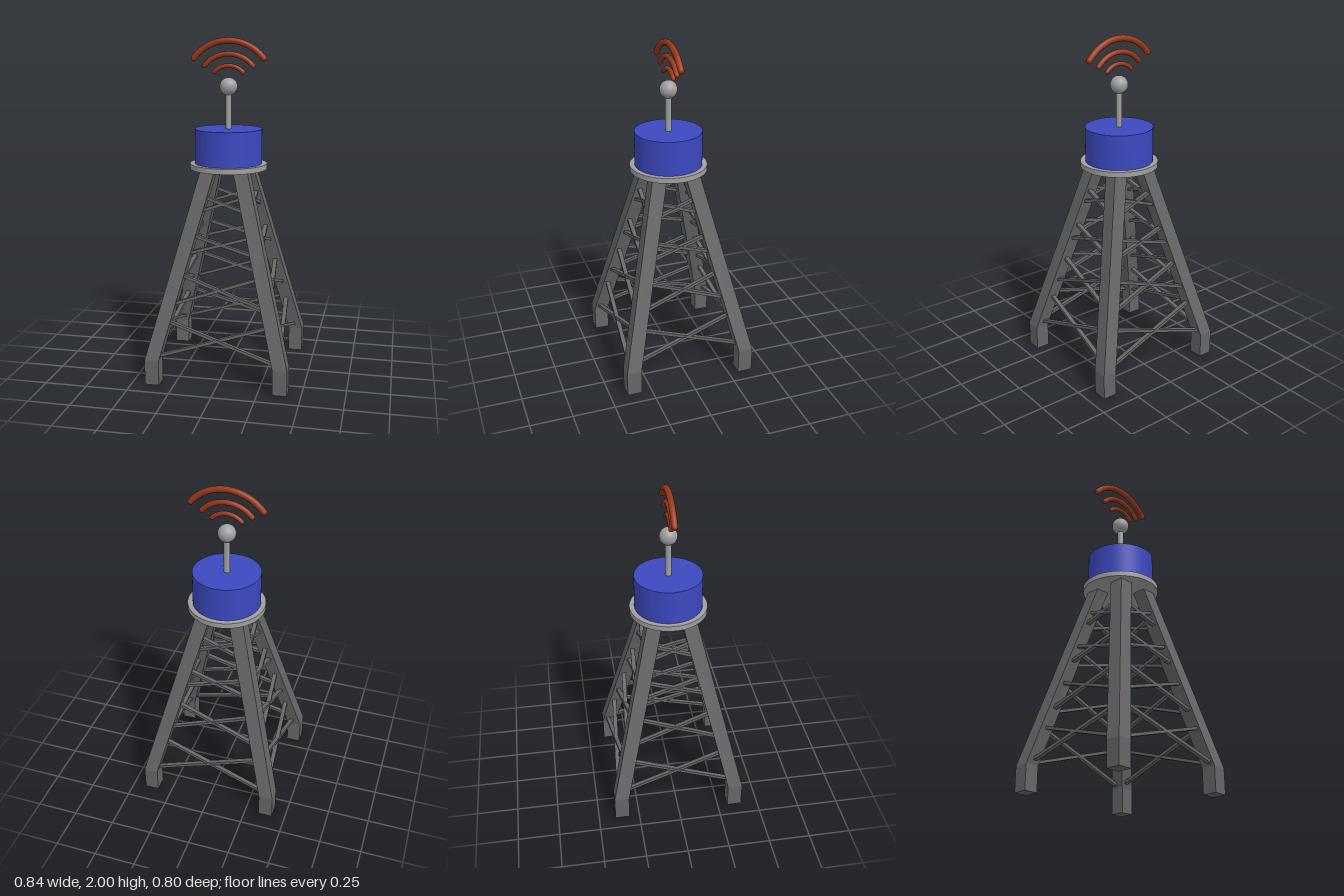
import * as THREE from 'three';

const material = (color, flatShading = false) => new THREE.MeshStandardMaterial({ color, flatShading });
const steel = material(0x666666, true);
const metal = material(0xa0a0a0);
const blue = material(0x3c48c0);
const red = material(0x993818);

function add(parent, name, geometry, mat, y = 0) {
  const mesh = new THREE.Mesh(geometry, mat);
  mesh.name = name;
  mesh.position.y = y;
  parent.add(mesh);
  return mesh;
}

// Upright foot that bends inward at the knee and leans to the platform
function legGeometry(sx, sz) {
  const geometry = new THREE.BoxGeometry(0.085, 2, 0.088, 1, 2, 1);
  const stations = [[0, 0.378, 0.355], [0.15, 0.378, 0.355], [1.245, 0.096, 0.098]];
  const pos = geometry.attributes.position;
  for (let i = 0; i < pos.count; i++) {
    const [y, x, z] = stations[Math.round(pos.getY(i)) + 1];
    pos.setXYZ(i, pos.getX(i) + sx * x, y, pos.getZ(i) + sz * z);
  }
  geometry.computeVertexNormals();
  return geometry;
}

// Distance of the brace plane from the tower axis at a given height
const reach = (y) => 0.34 - 0.238 * (y - 0.28);

// Straight bar from a to b, its broad side turned with the tower face
function brace(parent, a, b) {
  const dir = b.clone().sub(a);
  const bar = add(parent, 'brace', new THREE.BoxGeometry(dir.length(), 0.018, 0.026), steel);
  const xAxis = dir.normalize();
  const zAxis = new THREE.Vector3(0, 0, 1).addScaledVector(xAxis, -xAxis.z).normalize();
  const yAxis = zAxis.clone().cross(xAxis);
  bar.quaternion.setFromRotationMatrix(new THREE.Matrix4().makeBasis(xAxis, yAxis, zAxis));
  bar.position.copy(a).add(b).multiplyScalar(0.5);
}

// Upright arc about the mast ball, with rounded ends
function signalArc(parent, radius, tube, degrees) {
  const half = THREE.MathUtils.degToRad(degrees);
  const arc = new THREE.Group();
  arc.name = 'signalArc';
  arc.position.y = 1.72;
  const band = add(arc, 'arcBand', new THREE.TorusGeometry(radius, tube, 16, 40, 2 * half), red);
  band.rotation.z = Math.PI / 2 - half;
  for (const side of [-1, 1]) {
    const end = add(arc, 'arcEnd', new THREE.SphereGeometry(tube, 16, 12), red);
    end.position.set(side * radius * Math.sin(half), radius * Math.cos(half), 0);
  }
  parent.add(arc);
}

export function createModel() {
  const tower = new THREE.Group();
  tower.name = 'radioTower';

  for (const sx of [-1, 1]) {
    for (const sz of [-1, 1]) add(tower, 'leg', legGeometry(sx, sz), steel);
  }

  // Crossed braces on all four faces: [lower, upper] end heights
  const levels = [[0.165, 0.38], [0.465, 0.65], [0.758, 0.877], [0.998, 1.1]];
  for (let side = 0; side < 4; side++) {
    const face = new THREE.Group();
    face.name = 'braceFace';
    face.rotation.y = side * Math.PI / 2;
    for (const [low, high] of levels) {
      for (const s of [-1, 1]) {
        brace(face,
          new THREE.Vector3(-s * reach(low), low, reach(low)),
          new THREE.Vector3(s * reach(high), high, reach(high)));
      }
    }
    tower.add(face);
  }

  // Platform, drum and mast
  add(tower, 'platform', new THREE.CylinderGeometry(0.228, 0.228, 0.032, 64), metal, 1.255);
  add(tower, 'drum', new THREE.CylinderGeometry(0.198, 0.198, 0.205, 64), blue, 1.3725);
  add(tower, 'mast', new THREE.CylinderGeometry(0.018, 0.018, 0.25, 24), metal, 1.595);
  add(tower, 'mastBall', new THREE.SphereGeometry(0.052, 32, 24), metal, 1.72);

  signalArc(tower, 0.262, 0.018, 52);
  signalArc(tower, 0.186, 0.015, 50);
  signalArc(tower, 0.119, 0.013, 46);
  return tower;
}
